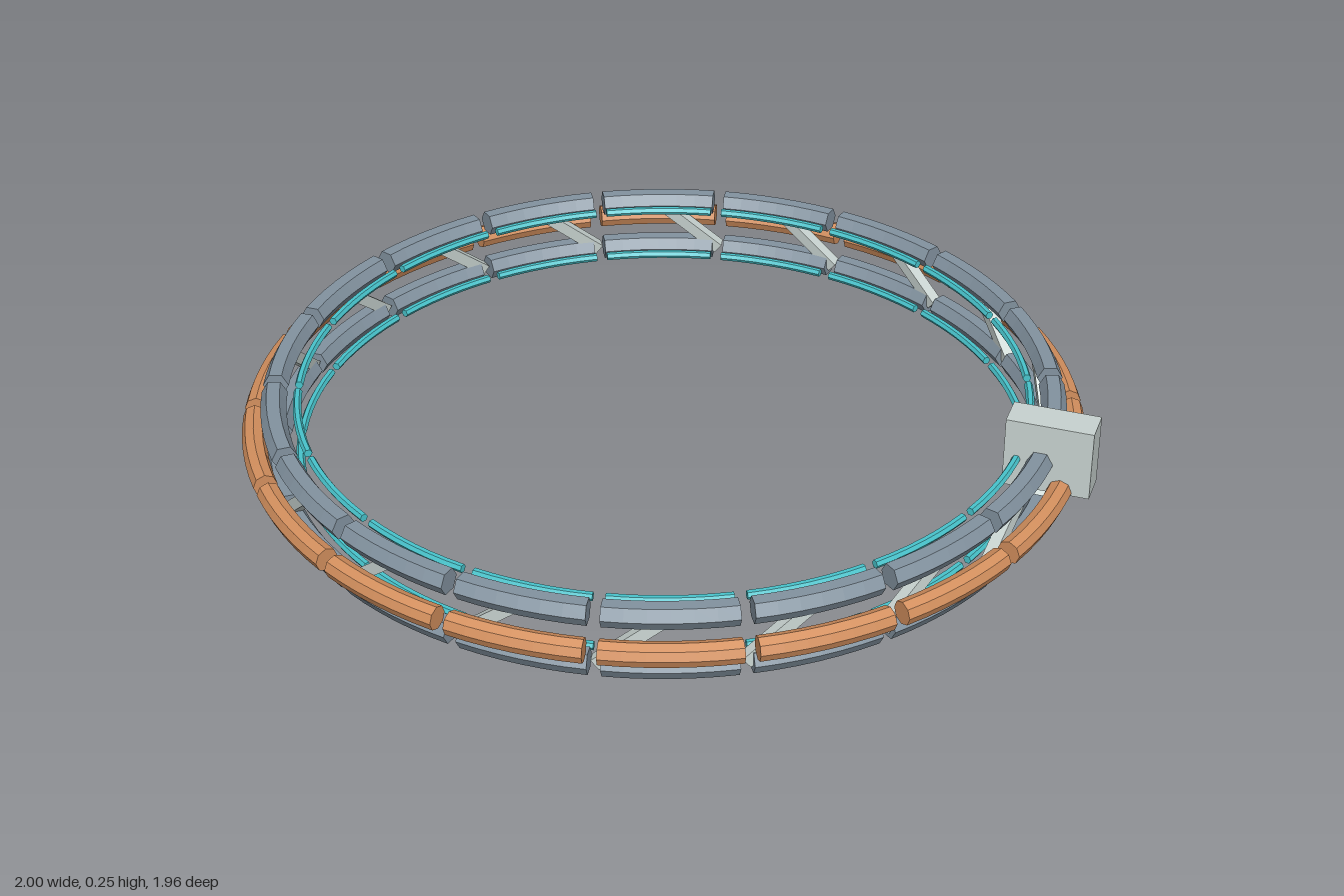
import * as THREE from 'three';
import { mergeGeometries } from 'three/addons/utils/BufferGeometryUtils.js';

const COUNT = 18;
const STEP = (Math.PI * 2) / COUNT;
const GAP = 0.032; // angle left open between neighbouring segments

function material(name, color) {
  const m = new THREE.MeshStandardMaterial({ color });
  m.name = name;
  return m;
}

// Split the faces so that every facet is shaded flat
function faceted(geometry) {
  const g = geometry.toNonIndexed();
  g.computeVertexNormals();
  return g;
}

// One capped, curved bar centred on the +z direction
function arcBar(ringRadius, barRadius, sides) {
  const start = -STEP / 2 + GAP / 2;
  const length = STEP - GAP;
  const profile = [];
  for (let i = 0; i <= sides; i++) {
    const a = (i / sides) * Math.PI * 2;
    profile.push(new THREE.Vector2(ringRadius + barRadius * Math.cos(a), barRadius * Math.sin(a)));
  }
  const body = new THREE.LatheGeometry(profile, 6, start, length);
  const startCap = new THREE.CircleGeometry(barRadius, sides)
    .translate(ringRadius, 0, 0)
    .rotateY(start - Math.PI / 2);
  const endCap = new THREE.CircleGeometry(barRadius, sides)
    .rotateX(Math.PI)
    .translate(ringRadius, 0, 0)
    .rotateY(start + length - Math.PI / 2);
  return faceted(mergeGeometries([body, startCap, endCap]));
}

export function createModel() {
  const slate = material('slate', 0x8393a0);
  const copper = material('copper', 0xd4905e);
  const teal = material('teal', 0x48c4cc);
  const paleGrey = material('pale grey', 0xc8d3d0);

  const model = new THREE.Group();
  model.name = 'segmentedRing';
  const ring = new THREE.Group();
  ring.name = 'ringTruss';
  ring.position.x = -0.02;
  model.add(ring);

  // Rings made of separate curved bars
  const LOW = 0.026, MID = 0.09, HIGH = 0.154, RAIL = 0.904;
  const addRing = (name, geometry, mat, y) => {
    const group = new THREE.Group();
    group.name = name;
    group.position.y = y;
    for (let k = 0; k < COUNT; k++) {
      const bar = new THREE.Mesh(geometry, mat);
      bar.name = name + 'Segment';
      bar.rotation.y = k * STEP;
      group.add(bar);
    }
    ring.add(group);
  };
  const rail = arcBar(RAIL, 0.03, 6);
  const strip = arcBar(0.85, 0.01, 6);
  addRing('lowerRail', rail, slate, LOW);
  addRing('upperRail', rail, slate, HIGH);
  addRing('outerRail', arcBar(0.953, 0.028, 8), copper, MID);
  addRing('lowerInnerStrip', strip, teal, LOW);
  addRing('upperInnerStrip', strip, teal, HIGH);

  // Slanted struts, from each gap of the lower rail to mid-segment of the upper
  const at = (angle, y) => new THREE.Vector3(RAIL * Math.cos(angle), y, RAIL * Math.sin(angle));
  const up = new THREE.Vector3(0, 1, 0);
  const from = at(0, LOW), to = at(-STEP / 2, HIGH);
  const axis = to.clone().sub(from);
  const strutGeometry = new THREE.BoxGeometry(0.028, axis.length(), 0.028);
  strutGeometry.applyQuaternion(new THREE.Quaternion().setFromUnitVectors(up, axis.clone().normalize()));
  const middle = from.clone().add(to).multiplyScalar(0.5);
  strutGeometry.translate(middle.x, middle.y, middle.z);
  const struts = new THREE.Group();
  struts.name = 'struts';
  for (let k = 0; k < COUNT; k++) {
    const strut = new THREE.Mesh(strutGeometry, paleGrey);
    strut.name = 'strut';
    strut.rotation.y = k * STEP;
    struts.add(strut);
  }
  ring.add(struts);

  // Block clamped over the rails on the left side
  const block = new THREE.Mesh(new THREE.BoxGeometry(0.2, 0.17, 0.08), paleGrey);
  block.name = 'clampBlock';
  block.position.set(0.9, 0.167, 0);
  model.add(block);

  return model;
}
